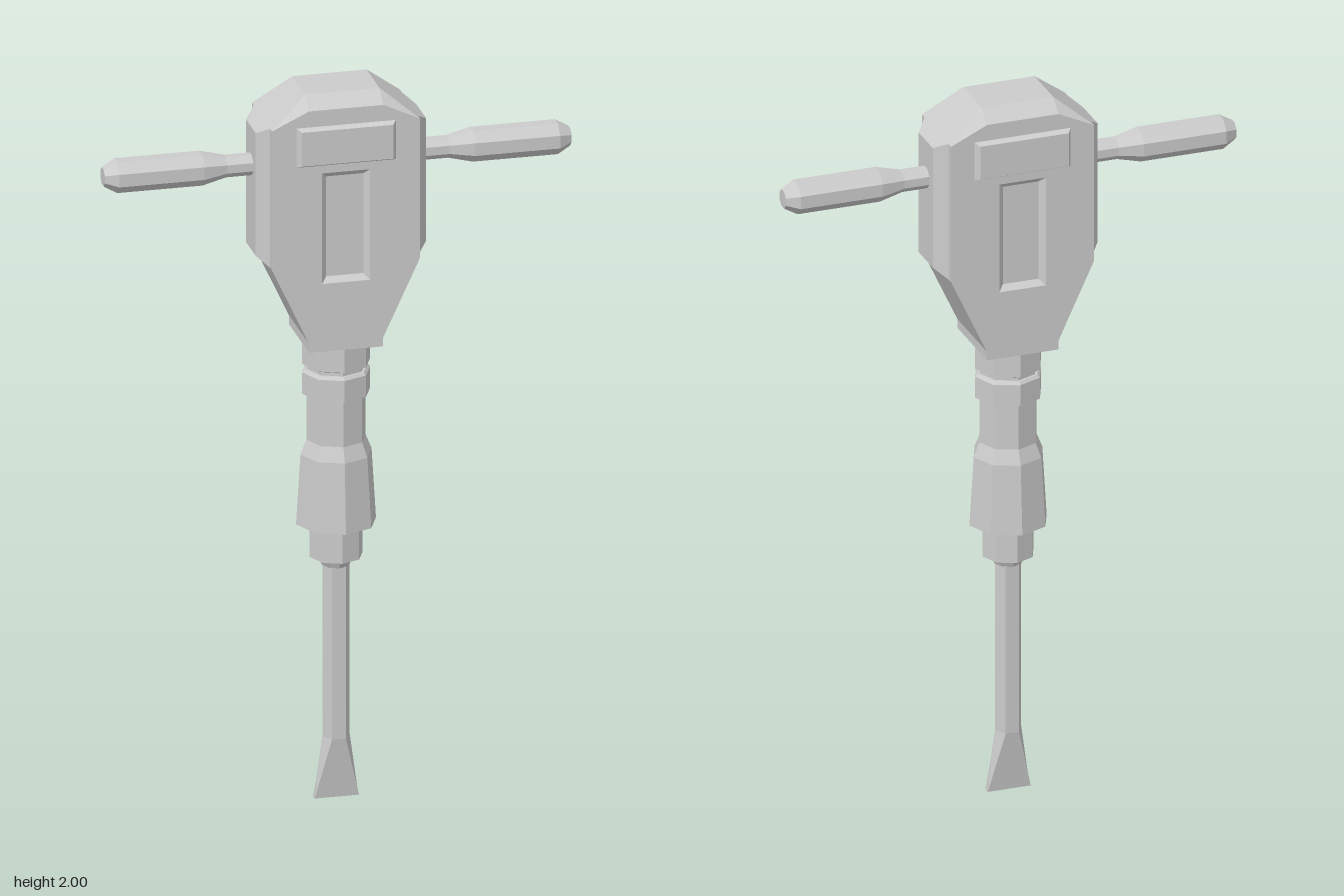
import * as THREE from 'three';

const grey = new THREE.MeshStandardMaterial({ color: 0xcccccc, flatShading: true });

function add(parent, name, geometry) {
  const mesh = new THREE.Mesh(geometry, grey);
  mesh.name = name;
  parent.add(mesh);
  return mesh;
}

// Faceted turned part from [radius, y] pairs, listed bottom to top
function turned(profile, sides, phase = 0) {
  return new THREE.LatheGeometry(profile.map(p => new THREE.Vector2(...p)), sides, phase);
}

// Box whose +z face is inset on all four edges
function taperedBox(w, h, d, insetX, insetY) {
  const g = new THREE.BoxGeometry(w, h, d);
  const p = g.attributes.position;
  for (let i = 0; i < p.count; i++) {
    if (p.getZ(i) > 0) {
      p.setX(i, p.getX(i) - Math.sign(p.getX(i)) * insetX);
      p.setY(i, p.getY(i) - Math.sign(p.getY(i)) * insetY);
    }
  }
  g.computeVertexNormals();
  return g;
}

// Motor housing: outline with a recess opening, then chamfered at the top
function housingGeometry() {
  const half = [[0.1, 1.29], [0.1, 1.315], [0.2, 1.53], [0.2, 1.92], [0.1, 2]];
  const outline = [...half, ...half.map(([x, y]) => [-x, y]).reverse()];
  const shape = new THREE.Shape(outline.map(p => new THREE.Vector2(...p)));
  const hole = [[-0.065, 1.48], [-0.065, 1.79], [0.065, 1.79], [0.065, 1.48]];
  shape.holes.push(new THREE.Path(hole.map(p => new THREE.Vector2(...p))));
  const g = new THREE.ExtrudeGeometry(shape, { depth: 0.22, steps: 3, bevelEnabled: false });
  g.translate(0, 0, -0.11);
  const p = g.attributes.position;
  for (let i = 0; i < p.count; i++) {
    const x = p.getX(i), y = p.getY(i), z = p.getZ(i);
    const inner = Math.abs(z) < 0.1;
    if (Math.abs(x) < 0.07) {
      // sloping walls of the recess
      if (inner) p.setXYZ(i, Math.sign(x) * 0.05, y > 1.6 ? 1.775 : 1.495, Math.sign(z) * 0.095);
    } else if (y > 1.99) {
      if (inner) p.setZ(i, Math.sign(z) * 0.07);
      else p.setY(i, 1.967);
    } else if (inner) p.setZ(i, Math.sign(z) * 0.11);
  }
  g.computeVertexNormals();
  return g;
}

// Chisel: six-sided rod spreading to a flat blade
function chiselGeometry() {
  const g = turned([[0, 0], [0.037, 0], [0.037, 0.17], [0.037, 0.66]], 6, Math.PI / 2);
  const p = g.attributes.position;
  for (let i = 0; i < p.count; i++) {
    const x = p.getX(i), z = p.getZ(i);
    if (p.getY(i) < 0.01 && Math.hypot(x, z) > 0.01) {
      p.setX(i, Math.sign(x) * 0.06);
      p.setZ(i, Math.abs(z) > 0.01 ? Math.sign(z) * 0.01 : 0);
    }
  }
  g.computeVertexNormals();
  return g;
}

export function createModel() {
  const model = new THREE.Group();
  model.name = 'jackhammer';

  add(model, 'housing', housingGeometry());
  add(model, 'recessFloor', new THREE.BoxGeometry(0.104, 0.284, 0.19)).position.y = 1.635;

  // Raised plates on front and back
  for (const s of [1, -1]) {
    const plate = add(model, s > 0 ? 'frontPlate' : 'backPlate', taperedBox(0.275, 0.115, 0.02, 0.014, 0.01));
    plate.position.set(0, 1.867, s * 0.115);
    if (s < 0) plate.rotation.y = Math.PI;
  }

  // Side pads and grips
  for (const s of [1, -1]) {
    const side = new THREE.Group();
    side.name = s > 0 ? 'leftHandle' : 'rightHandle';
    if (s < 0) side.rotation.y = Math.PI;
    model.add(side);

    const pad = add(side, 'sidePad', taperedBox(0.18, 0.39, 0.03, 0.037, 0.023));
    pad.rotation.y = Math.PI / 2;
    pad.position.set(0.215, 1.725, 0);

    const grip = add(side, 'grip', turned(
      [[0.03, 0.2], [0.03, 0.3], [0.046, 0.365], [0.046, 0.595], [0.026, 0.63], [0, 0.63]], 8, Math.PI / 8));
    grip.rotation.z = -Math.PI / 2;
    grip.position.y = 1.792;
  }

  // Collars, barrel and chuck below the housing
  add(model, 'upperCollar', turned(
    [[0.078, 1.2], [0.078, 1.212], [0.092, 1.218], [0.092, 1.3]], 8));
  add(model, 'lowerCollar', turned(
    [[0.07, 1.135], [0.092, 1.135], [0.092, 1.195], [0.085, 1.203], [0.06, 1.203]], 8));
  add(model, 'barrel', turned(
    [[0, 0.77], [0.108, 0.77], [0.096, 0.965], [0.08, 1.005], [0.08, 1.14]], 8));
  add(model, 'chuck', turned(
    [[0.03, 0.65], [0.038, 0.65], [0.05, 0.675], [0.071, 0.675], [0.071, 0.775]], 8));
  add(model, 'chisel', chiselGeometry());

  return model;
}
